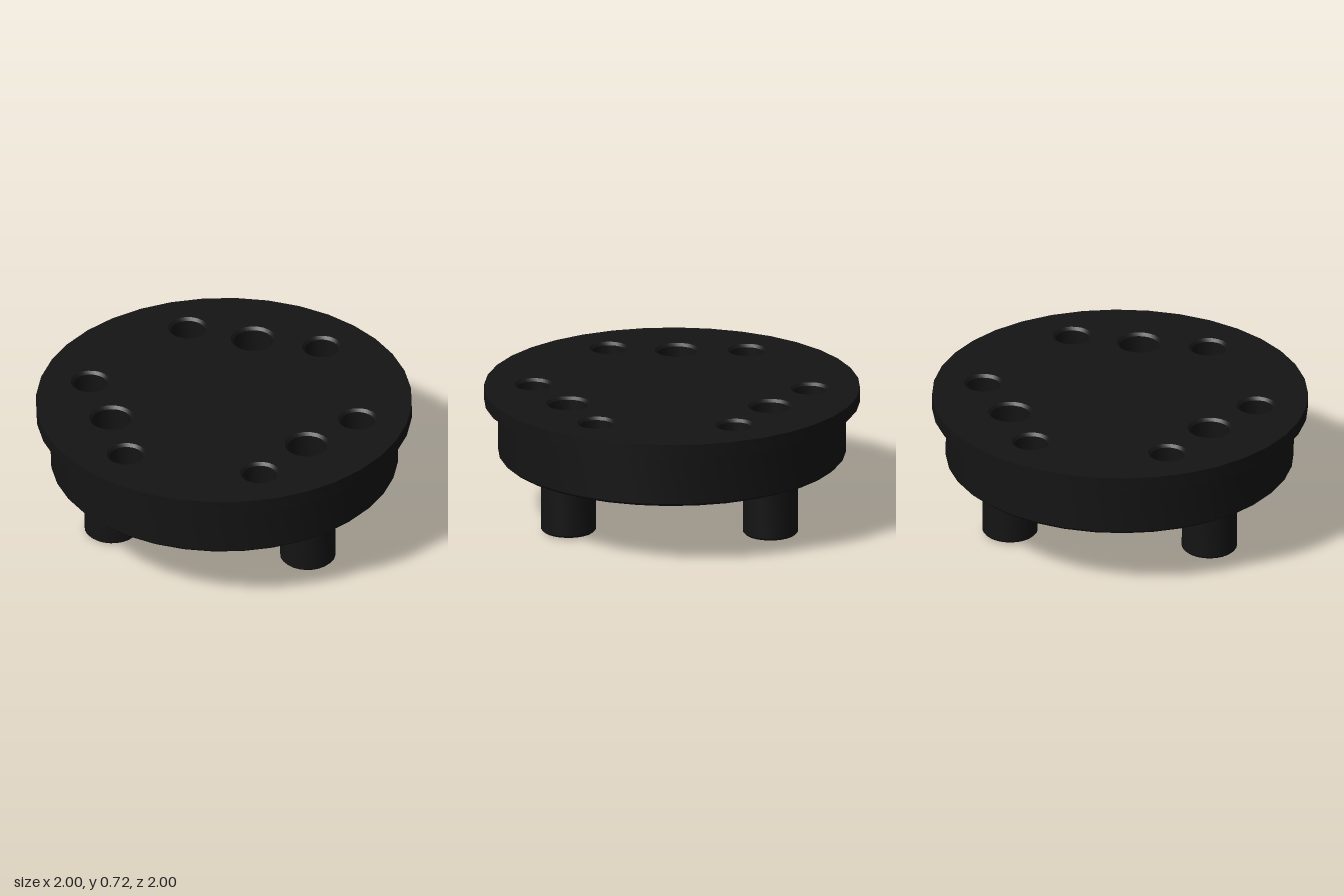
import * as THREE from 'three';
import { toCreasedNormals } from 'three/addons/utils/BufferGeometryUtils.js';

const TOP = 0.715, FLANGE = 0.64, BOTTOM = 0.345;
const SIDES = 36, HOLE_SIDES = 20;

// points of a regular polygon lying in x, z, lined up with the lathe corners
function ring(x, z, r, sides) {
  return Array.from({ length: sides }, (_, i) => {
    const a = (i / sides) * Math.PI * 2;
    return new THREE.Vector2(x + r * Math.sin(a), z + r * Math.cos(a));
  });
}

function lathe(profile, sides) {
  const points = profile.map(([r, y]) => new THREE.Vector2(r, y));
  return toCreasedNormals(new THREE.LatheGeometry(points, sides), 0.5);
}

// three positions spaced evenly around the axis, starting from one of them
function triple(angle, radius) {
  return [0, 1, 2].map((i) => {
    const a = angle + (i * Math.PI * 2) / 3;
    return [radius * Math.cos(a), radius * Math.sin(a)];
  });
}

export function createModel() {
  const model = new THREE.Group();
  const material = new THREE.MeshStandardMaterial({ color: 0x141414 });

  function add(name, geometry, x = 0, y = 0, z = 0) {
    const mesh = new THREE.Mesh(geometry, material);
    mesh.name = name;
    mesh.position.set(x, y, z);
    model.add(mesh);
    return mesh;
  }

  // flat disc pierced by holes; direction is 1 facing up, -1 facing down
  function face(name, radius, y, direction, holes) {
    const shape = new THREE.Shape(ring(0, 0, radius, SIDES));
    for (const { x, z, r, sides = HOLE_SIDES } of holes) {
      shape.holes.push(new THREE.Path(ring(x, -direction * z, r, sides)));
    }
    const geometry = new THREE.ShapeGeometry(shape);
    geometry.rotateX((-direction * Math.PI) / 2);
    add(name, geometry, 0, y, 0);
  }

  // bevelled blind hole, sunk into the face it belongs to
  function pocket(hole, y, direction) {
    const { name, x, z, r, bevel, depth, tip = 0, open, sides = HOLE_SIDES } = hole;
    const inner = r - bevel;
    const profile = [[r, 0], [inner, -bevel]];
    if (!open) profile.push([inner, -depth], [0, -depth - tip]);
    const mesh = add(name, lathe(profile, sides), x, y, z);
    if (direction < 0) mesh.rotation.x = Math.PI;
  }

  const pegSpots = triple(1.237, 0.62);

  // holes in the top: one above each peg and a pair beside it
  const topHoles = [
    ...pegSpots.map(([x, z]) => ({ name: 'pegScrewHole', x, z, r: 0.12, bevel: 0.015, depth: 0.26, tip: 0.02 })),
    ...[...triple(0.72, 0.735), ...triple(0.72 + Math.PI / 3, 0.735)].map(([x, z]) => (
      { name: 'topHole', x, z, r: 0.105, bevel: 0.015, depth: 0.23, tip: 0.04 })),
  ];

  // holes in the underside: centre bore, small holes opposite the pegs, peg seats
  const bottomHoles = [
    { name: 'centreBore', x: 0, z: 0, r: 0.31, bevel: 0.05, depth: 0.25, sides: SIDES },
    ...pegSpots.map(([x, z]) => ({ name: 'undersideHole', x: -x * 1.04, z: -z * 1.04, r: 0.09, bevel: 0.015, depth: 0.2, tip: 0.04 })),
    ...pegSpots.map(([x, z]) => ({ name: 'pegSeat', x, z, r: 0.161, bevel: 0.014, open: true })),
  ];

  // outer wall with a wide flange at the top
  add('bodyWall', lathe([
    [0.91, BOTTOM], [0.925, BOTTOM + 0.015], [0.925, FLANGE], [1, FLANGE], [1, TOP],
  ], SIDES));
  face('topFace', 1, TOP, 1, topHoles);
  face('bottomFace', 0.91, BOTTOM, -1, bottomHoles);
  topHoles.forEach((hole) => pocket(hole, TOP, 1));
  bottomHoles.forEach((hole) => pocket(hole, BOTTOM, -1));

  // three supporting pegs
  const pegGeometry = lathe([
    [0, 0.006], [0.135, 0.006], [0.147, 0.018], [0.147, BOTTOM + 0.02],
  ], 24);
  pegSpots.forEach(([x, z]) => add('peg', pegGeometry, x, 0, z));

  // the whole disc leans very slightly sideways
  model.rotation.z = 0.006;
  return model;
}
